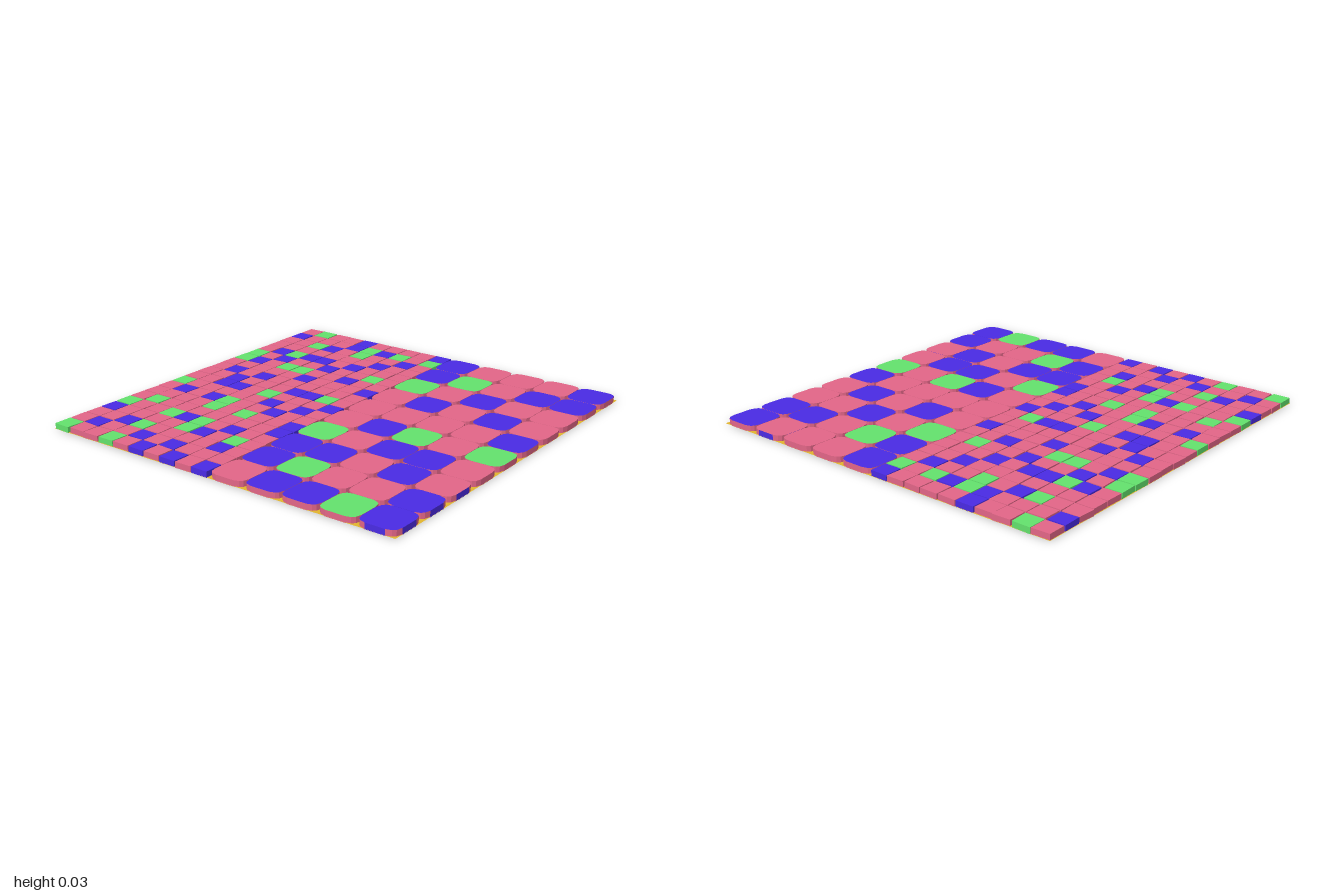
import * as THREE from 'three';

const COLORS = { pink: 0xe36688, blue: 0x4a2be4, green: 0x63e26d, grout: 0xe3b52e };
const KEY = { '.': 'pink', B: 'blue', G: 'green' };
const HEIGHT = 0.03;

// Colour layouts, back row first, left column at -x
const SMALL = [
  'G..BG...G....GG...B.',
  '.B...G.B...B.B.B...G',
  '..B......BB...BG.G..',
  'G.G.G..B.B.B.G.B.B..',
  '.B..B.GG.....G.B..BB',
  'B..GG....G..B.B..GG.',
  '.B.B..G.B.B....B..B.',
  'B...B..B..B..B..B.G.',
  '..BG....B.G...G..B..',
  'B....BB..B..B.....GB',
];
const LARGE = ['.BBG...GBB', 'BGB.B.B.G.', 'B..BG..B..', 'G.BB..B.B.', 'BB..GB..BB'];
// Cobbles whose straight sides are blue, as row * 10 + column
const BLUE_SIDED = [40, 41, 42, 39];

// One quarter of a cobble outline, as [x, z]
const CORNER = [[-0.05, 0.099], [0.05, 0.099], [0.078, 0.091], [0.091, 0.078]];

// Seeded jitter, 0 to 1
let seed = 7;
const rand = () => (seed = (seed * 16807) % 2147483647) / 2147483647;

function fan(out, outline, y, up) {
  for (let i = 1; i < outline.length - 1; i++) {
    const tri = [outline[0], outline[i], outline[i + 1]];
    if (!up) tri.reverse();
    for (const [x, z] of tri) out.push(x, y, z);
  }
}

function wall(out, [ax, az], [bx, bz]) {
  out.push(ax, 0, az, bx, 0, bz, bx, HEIGHT, bz, ax, 0, az, bx, HEIGHT, bz, ax, HEIGHT, az);
}

// Collects triangles by colour and turns each colour into one mesh
function colouredPart(name, fill) {
  const lists = { pink: [], blue: [], green: [] };
  fill(lists);
  const part = new THREE.Group();
  part.name = name;
  for (const [key, positions] of Object.entries(lists)) {
    const geometry = new THREE.BufferGeometry();
    geometry.setAttribute('position', new THREE.Float32BufferAttribute(positions, 3));
    geometry.computeVertexNormals();
    const mesh = new THREE.Mesh(
      geometry,
      new THREE.MeshStandardMaterial({ color: COLORS[key], flatShading: true, side: THREE.DoubleSide })
    );
    mesh.name = key + name[0].toUpperCase() + name.slice(1);
    part.add(mesh);
  }
  return part;
}

export function createModel() {
  const model = new THREE.Group();
  model.name = 'pavingPatch';

  // Grout sheet, just above the foot of the stones and seen from both sides
  const grout = new THREE.Mesh(
    new THREE.PlaneGeometry(2, 2).rotateX(-Math.PI / 2),
    new THREE.MeshStandardMaterial({ color: COLORS.grout, side: THREE.DoubleSide })
  );
  grout.name = 'grout';
  grout.position.y = 0.002;
  model.add(grout);

  // Small, slightly irregular setts on the back half
  model.add(colouredPart('smallSetts', (lists) => {
    SMALL.forEach((row, r) => [...row].forEach((letter, c) => {
      const list = lists[KEY[letter]];
      const x = -0.95 + c * 0.1;
      const z = -0.95 + r * 0.1;
      const outline = [[-1, 1], [1, 1], [1, -1], [-1, -1]].map(([sx, sz]) => [
        x + sx * (0.05 - rand() * 0.006),
        z + sz * (0.05 - rand() * 0.006),
      ]);
      fan(list, outline, HEIGHT, true);
      fan(list, outline, 0, false);
      outline.forEach((p, i) => wall(list, p, outline[(i + 1) % 4]));
    }));
  }));

  // Large rounded cobbles on the front half, open below
  model.add(colouredPart('largeCobbles', (lists) => {
    LARGE.forEach((row, r) => [...row].forEach((letter, c) => {
      const x = -0.9 + c * 0.2;
      const z = 0.1 + r * 0.2;
      const outline = [];
      for (let q = 0; q < 4; q++) {
        for (const [px, pz] of CORNER) {
          let [u, v] = [px, pz];
          for (let k = 0; k < q; k++) [u, v] = [v, -u];
          outline.push([x + u, z + v]);
        }
      }
      fan(lists[KEY[letter]], outline, HEIGHT, true);
      const flat = BLUE_SIDED.includes(r * 10 + c) ? 'blue' : 'pink';
      outline.forEach((p, i) =>
        wall(lists[i % 4 === 0 ? flat : 'pink'], p, outline[(i + 1) % outline.length]));
    }));
  }));

  return model;
}
